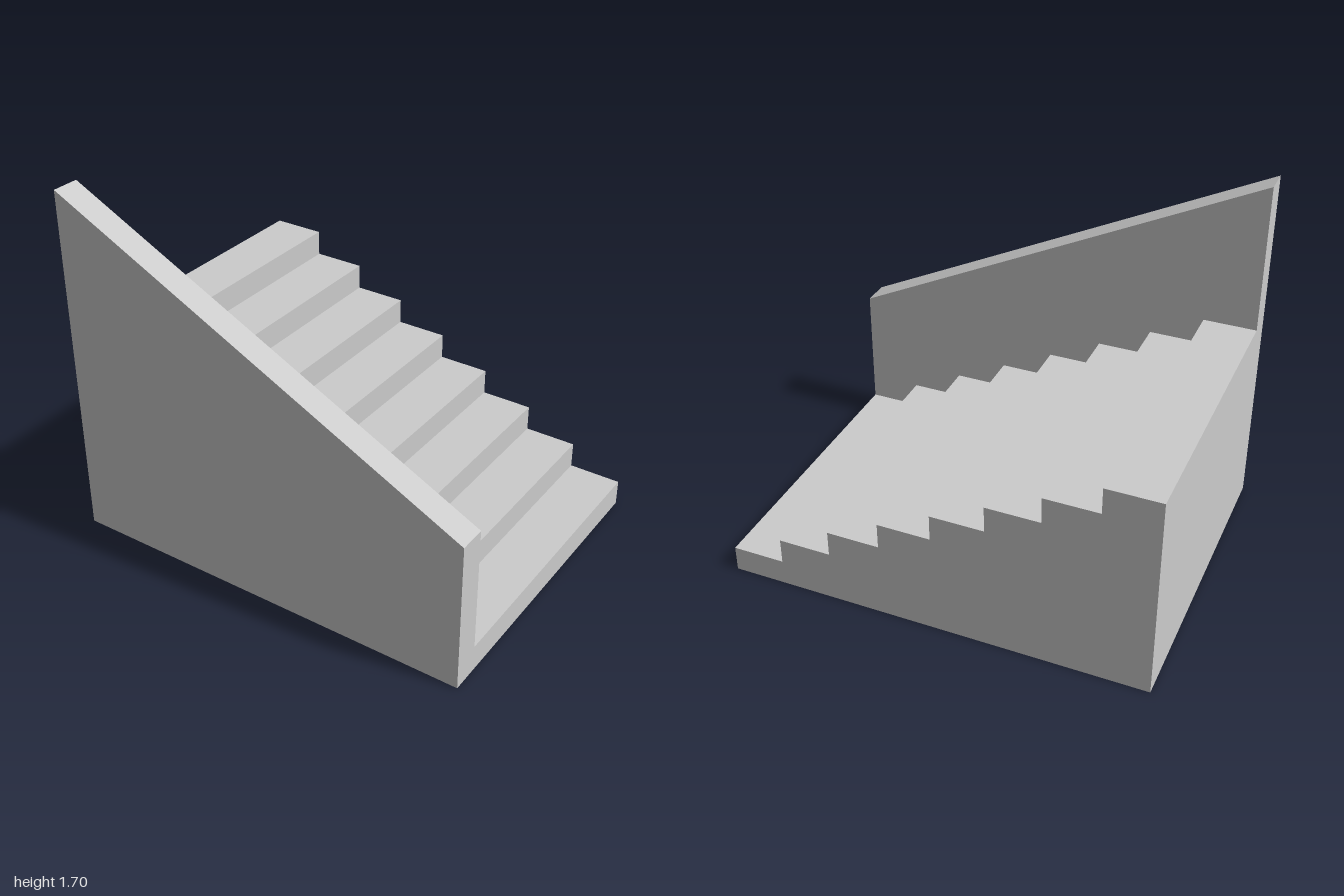
import * as THREE from 'three';

const STEPS = 8;
const RUN = 2 / STEPS;
const RISE = 0.988 / STEPS;
const BACK = -0.76, WALL_IN = 0.63, FRONT = 0.76;

// Extrude a side profile (x, y) between two z positions
function slab(name, points, z0, z1, material) {
  const shape = new THREE.Shape(points.map(([x, y]) => new THREE.Vector2(x, y)));
  const geometry = new THREE.ExtrudeGeometry(shape, { depth: z1 - z0, bevelEnabled: false });
  geometry.translate(0, 0, z0);
  const mesh = new THREE.Mesh(geometry, material);
  mesh.name = name;
  return mesh;
}

export function createModel() {
  const group = new THREE.Group();
  group.name = 'staircase';
  const material = new THREE.MeshStandardMaterial({ color: 0xcccccc, flatShading: true });

  // Solid flight of steps, lowest at +x and rising towards -x
  const profile = [[-1, 0], [1, 0]];
  for (let i = 0; i < STEPS; i++) {
    const y = (i + 1) * RISE;
    profile.push([1 - i * RUN, y], [1 - (i + 1) * RUN, y]);
  }
  group.add(slab('steps', profile, BACK, WALL_IN, material));

  // Side wall with a sloping top
  const wall = [[-1, 0], [1, 0], [1, 0.715], [-1, 1.7]];
  group.add(slab('sideWall', wall, WALL_IN, FRONT, material));

  return group;
}
